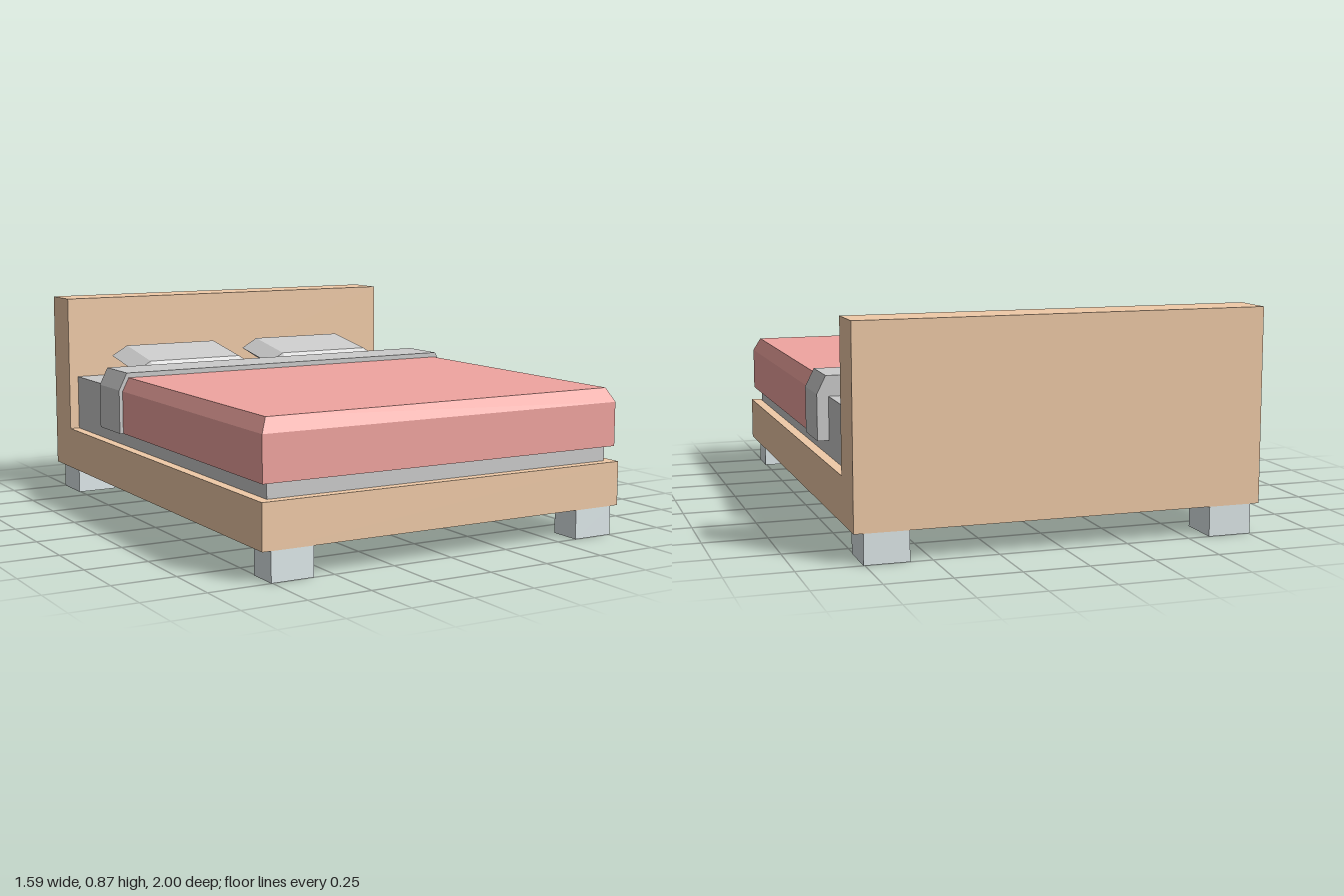
import * as THREE from 'three';
import { ConvexGeometry } from 'three/addons/geometries/ConvexGeometry.js';

const mat = (color) => new THREE.MeshStandardMaterial({ color, flatShading: true });

export function createModel() {
  const bed = new THREE.Group();
  bed.name = 'bed';
  const wood = mat(0xf0cba8), red = mat(0xf0a5a0), linen = mat(0xcccccc), metal = mat(0xe0eaec);

  const add = (name, geometry, material) => {
    const mesh = new THREE.Mesh(geometry, material);
    mesh.name = name;
    bed.add(mesh);
    return mesh;
  };
  // box from its limits on each axis
  const box = (name, [x0, x1], [y0, y1], [z0, z1], material) =>
    add(name, new THREE.BoxGeometry(x1 - x0, y1 - y0, z1 - z0)
      .translate((x0 + x1) / 2, (y0 + y1) / 2, (z0 + z1) / 2), material);
  // outline pushed straight along z and centred on z = 0
  const extrude = (outline, depth) =>
    new THREE.ExtrudeGeometry(new THREE.Shape(outline.map(([x, y]) => new THREE.Vector2(x, y))),
      { depth, bevelEnabled: false }).translate(0, 0, -depth / 2);

  // base and headboard in one L-shaped side profile (z, y)
  const profile = [[-1, 0.115], [1, 0.115], [1, 0.29], [-0.825, 0.29], [-0.825, 0.865], [-1, 0.865]];
  add('frameAndHeadboard', extrude(profile, 1.58).rotateY(-Math.PI / 2), wood);

  // four block legs
  for (const s of [-1, 1]) {
    const xs = s > 0 ? [0.585, 0.755] : [-0.755, -0.585];
    box('frontLeg', xs, [0, 0.115], [0.87, 1], metal);
    box('backLeg', xs, [0, 0.115], [-1, -0.825], metal);
  }

  box('mattress', [-0.75, 0.75], [0.29, 0.52], [-0.825, 0.96], linen);

  // blanket, bevelled along the top at the sides and foot
  const blanket = [];
  for (const s of [-1, 1]) {
    for (const [x, y, z] of [[0.78, 0.35, 0.985], [0.78, 0.525, 0.985], [0.752, 0.58, 0.957]]) {
      blanket.push(new THREE.Vector3(s * x, y, z), new THREE.Vector3(s * x, y, -0.25));
    }
  }
  add('blanket', new ConvexGeometry(blanket), red);

  // folded sheet band draped across the bed
  const band = [[-0.795, 0.35], [0.795, 0.35], [0.795, 0.53], [0.76, 0.6], [-0.76, 0.6], [-0.795, 0.53]];
  add('sheetFold', extrude(band, 0.21).translate(0, 0, -0.35), linen);

  // two tilted pillows with bevelled edges all round
  const corners = [];
  for (const sx of [-1, 1]) for (const sz of [-1, 1]) {
    for (const [x, y, z] of [[0.213, 0.043, 0.132], [0.213, -0.043, 0.132], [0.282, 0, 0.132], [0.213, 0, 0.177]]) {
      corners.push(new THREE.Vector3(sx * x, y, sz * z));
    }
  }
  const pillowGeometry = new ConvexGeometry(corners);
  for (const s of [-1, 1]) {
    const pillow = add(s > 0 ? 'leftPillow' : 'rightPillow', pillowGeometry, linen);
    pillow.position.set(s * 0.324, 0.588, -0.647);
    pillow.rotation.x = 0.165;
  }
  return bed;
}
